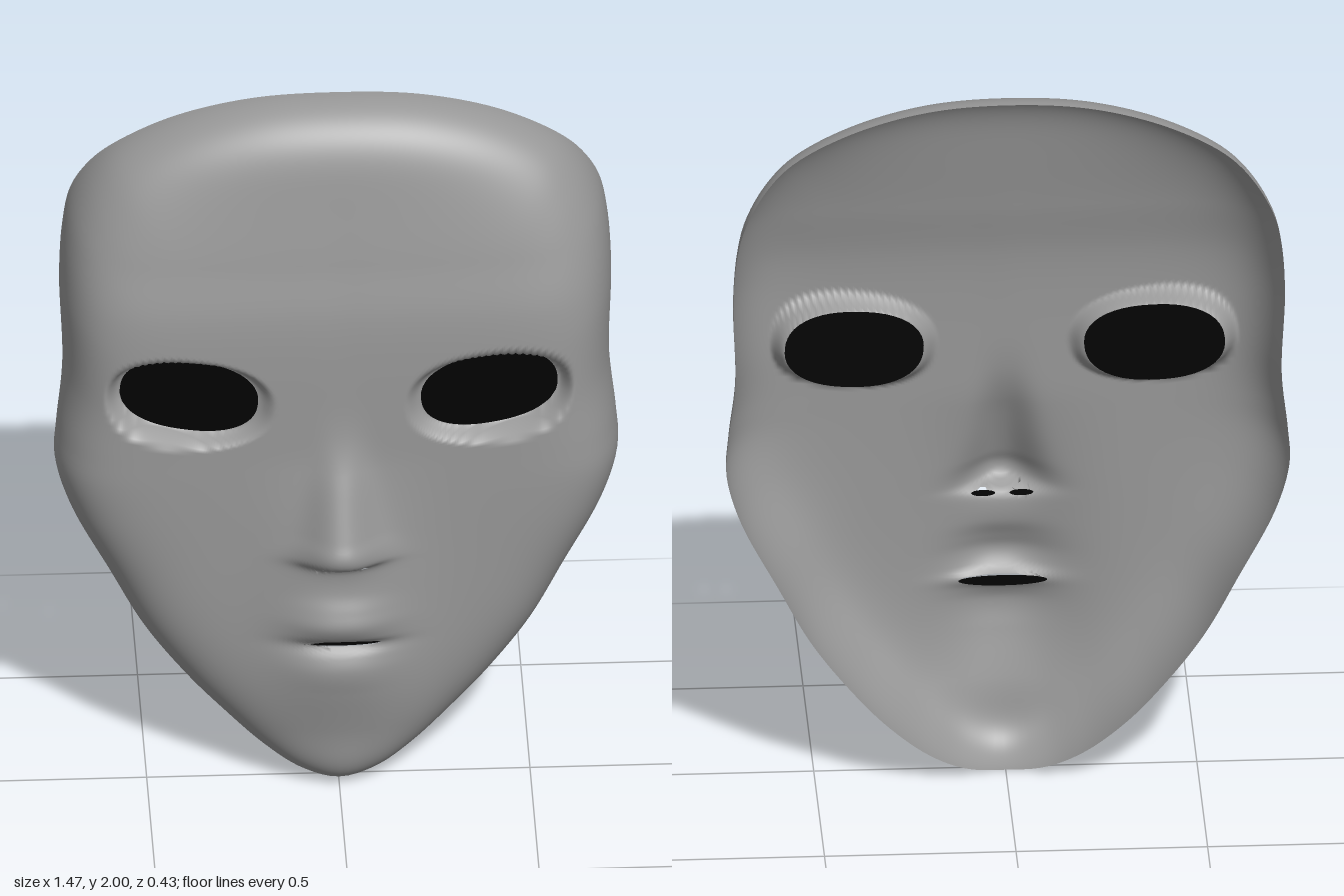
import * as THREE from 'three';

// Smooth curve through [position, value] pairs
function profile(pts) {
  const slope = (i) => {
    const a = pts[Math.max(i - 1, 0)], b = pts[Math.min(i + 1, pts.length - 1)];
    return (b[1] - a[1]) / (b[0] - a[0]);
  };
  return (y) => {
    let i = 0;
    while (i < pts.length - 2 && y > pts[i + 1][0]) i++;
    const [y0, v0] = pts[i], [y1, v1] = pts[i + 1], h = y1 - y0;
    const t = THREE.MathUtils.clamp((y - y0) / h, 0, 1), t2 = t * t, t3 = t2 * t;
    return (2 * t3 - 3 * t2 + 1) * v0 + (t3 - 2 * t2 + t) * h * slope(i)
      + (3 * t2 - 2 * t3) * v1 + (t3 - t2) * h * slope(i + 1);
  };
}

// Back rim of the mask on the +x side, chin to crown: x, y, z
const RIM = [
  [0, 0, -0.02], [0.1, 0.02, -0.05], [0.2, 0.08, -0.09], [0.31, 0.18, -0.12], [0.40, 0.28, -0.125],
  [0.51, 0.43, -0.13], [0.60, 0.60, -0.135], [0.70, 0.80, -0.135], [0.735, 0.93, -0.13],
  [0.73, 1.03, -0.13], [0.713, 1.2, -0.15], [0.72, 1.45, -0.18], [0.71, 1.6, -0.20],
  [0.69, 1.69, -0.215], [0.64, 1.78, -0.20], [0.57, 1.85, -0.18], [0.42, 1.93, -0.17],
  [0.22, 1.985, -0.16], [0, 2, -0.155],
];
// Broad face depth by height
const faceDepth = profile([[0, 0.16], [0.2, 0.115], [0.5, 0.1], [1.0, 0.1], [1.3, 0.1], [1.45, 0.092],
  [1.6, 0.065], [1.8, 0.04], [2, 0.05]]);
// Soft swell of chin and mouth area above the face
const muzzle = profile([[0, 0], [0.15, 0.005], [0.35, 0.05], [0.5, 0.056], [0.65, 0.05], [0.8, 0.032],
  [1, 0.004], [1.1, 0], [2, 0]]);
// Lips and nose above the swell, and their half width
const feature = profile([[0, 0], [0.25, 0], [0.33, 0.002], [0.41, 0.008], [0.45, -0.005], [0.48, -0.024],
  [0.505, 0.004], [0.55, 0.025], [0.59, 0.017], [0.64, 0.002], [0.70, 0.006], [0.725, 0.022],
  [0.745, 0.064], [0.78, 0.082], [0.82, 0.072], [0.95, 0.044], [1.1, 0.008], [1.25, 0], [2, 0]]);
const featureWidth = profile([[0, 0.14], [0.4, 0.13], [0.55, 0.125], [0.65, 0.11], [0.74, 0.105],
  [0.82, 0.085], [0.92, 0.072], [1.1, 0.06], [2, 0.06]]);

// Openings as rounded ovals: centre, half sizes, tilt, squareness
const EYE = { x: 0.392, y: 1.203, a: 0.18, b: 0.106, tilt: 0.1, n: 2.3 };
const MOUTH = { x: 0, y: 0.482, a: 0.11, b: 0.009, tilt: 0, n: 2 };
const NOSTRIL = { x: 0.05, y: 0.726, a: 0.028, b: 0.006, tilt: 0, n: 2 };
const mirrored = (o) => ({ ...o, x: -o.x, tilt: -o.tilt });
const EYES = [EYE, mirrored(EYE)], NOSTRILS = [NOSTRIL, mirrored(NOSTRIL)];
const HOLES = [...EYES, MOUTH, ...NOSTRILS];

// 1 on the edge of an oval, less inside
function ovalDistance(o, x, y) {
  const c = Math.cos(o.tilt), s = Math.sin(o.tilt), dx = x - o.x, dy = y - o.y;
  const u = Math.abs(dx * c + dy * s) / o.a, v = Math.abs(dy * c - dx * s) / o.b;
  return Math.pow(u ** o.n + v ** o.n, 1 / o.n);
}
const eyeDepth = (x) => 0.045 - 0.12 * (Math.abs(x) - EYE.x);

// Depth of the shell at a point, where s runs from 0 in the middle to 1 on the rim
function shellDepth(x, y, s, rimZ) {
  const bump = (w) => Math.exp(-Math.pow(Math.abs(x) / w, 2.3));
  const front = faceDepth(y) + muzzle(y) * bump(0.19) + feature(y) * bump(featureWidth(y));
  let z = rimZ + (front - rimZ) * Math.sqrt(Math.max(0, 1 - s ** 9));
  for (const eye of EYES) {
    const k = THREE.MathUtils.smoothstep(1.25 - ovalDistance(eye, x, y), 0, 0.24);
    z = THREE.MathUtils.lerp(z, eyeDepth(x), k);
  }
  return z;
}

function shellGeometry() {
  const N = 240, RINGS = 140, cy = 1;
  const left = RIM.map((p) => new THREE.Vector3(...p));
  const right = RIM.slice(1, -1).reverse().map(([x, y, z]) => new THREE.Vector3(-x, y, z));
  const rim = new THREE.CatmullRomCurve3([...left, ...right], true).getSpacedPoints(N);
  const pos = [], inside = [], index = [];
  const add = (p, t) => {
    const s = 1 - Math.pow(1 - t, 1.6);
    let x = p.x * s, y = cy + (p.y - cy) * s, hole = -1;
    // Pull points inside an opening out to its edge
    HOLES.forEach((o, k) => {
      const d = ovalDistance(o, x, y);
      if (d < 1 && d > 1e-4) {
        hole = k;
        x = o.x + (x - o.x) / d;
        y = o.y + (y - o.y) / d;
      }
    });
    pos.push(x, y, shellDepth(x, y, s, p.z));
    inside.push(hole);
  };
  add(rim[0], 0);
  for (let i = 1; i <= RINGS; i++) for (let j = 0; j < N; j++) add(rim[j], i / RINGS);
  const id = (i, j) => (i === 0 ? 0 : 1 + (i - 1) * N + (j % N));
  const face = (a, b, c) => {
    const open = inside[a] >= 0 && inside[a] === inside[b] && inside[a] === inside[c];
    if (!open && a !== c) index.push(a, b, c);
  };
  for (let i = 0; i < RINGS; i++) {
    for (let j = 0; j < N; j++) {
      face(id(i, j), id(i + 1, j), id(i + 1, j + 1));
      face(id(i, j), id(i + 1, j + 1), id(i, j + 1));
    }
  }
  const g = new THREE.BufferGeometry();
  g.setAttribute('position', new THREE.Float32BufferAttribute(pos, 3));
  g.setIndex(index);
  g.computeVertexNormals();
  return g;
}

// Thin dark oval behind an opening, slightly larger than it
function patchGeometry(o, margin, depth) {
  const g = new THREE.CircleGeometry(1, 48), p = g.attributes.position;
  const c = Math.cos(o.tilt), s = Math.sin(o.tilt);
  for (let i = 0; i < p.count; i++) {
    const u = p.getX(i), v = p.getY(i);
    const r = Math.hypot(u, v) / (Math.pow(Math.abs(u) ** o.n + Math.abs(v) ** o.n, 1 / o.n) || 1);
    const dx = u * r * (o.a + margin), dy = v * r * (o.b + margin);
    const x = o.x + dx * c - dy * s;
    p.setXYZ(i, x, o.y + dx * s + dy * c, depth(x));
  }
  g.computeVertexNormals();
  return g;
}

export function createModel() {
  const group = new THREE.Group();
  group.name = 'mask';
  const grey = new THREE.MeshStandardMaterial({ color: 0x979797, side: THREE.DoubleSide });
  const black = new THREE.MeshStandardMaterial({ color: 0x020202, side: THREE.DoubleSide });
  const add = (name, geometry, material) => {
    const mesh = new THREE.Mesh(geometry, material);
    mesh.name = name;
    group.add(mesh);
  };
  add('faceShell', shellGeometry(), grey);
  ['left', 'right'].forEach((side, i) => {
    add(side + 'EyeLens', patchGeometry(EYES[i], 0.003, (x) => eyeDepth(x) - 0.003), black);
    add(side + 'NostrilBacking', patchGeometry(NOSTRILS[i], 0.003, () => 0.142), black);
  });
  add('mouthBacking', patchGeometry(MOUTH, 0.006, () => 0.12), black);
  return group;
}
